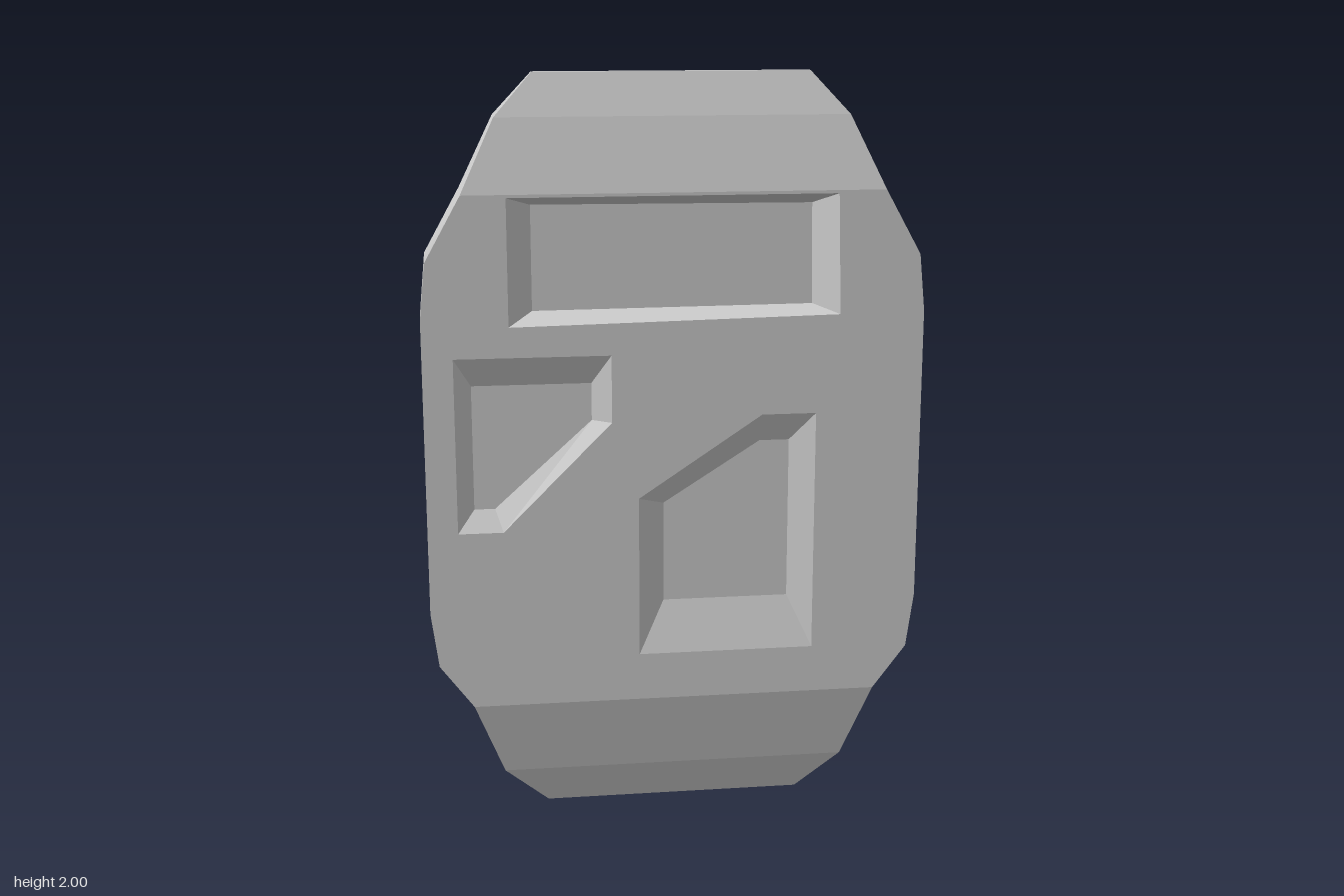
import * as THREE from 'three';

const grey = new THREE.MeshStandardMaterial({ color: 0xcccccc });
const faceted = new THREE.MeshStandardMaterial({ color: 0xcccccc, flatShading: true });
const FACE = 0.097; // half thickness of the slab

// Outline of the slab, bottom to top: height, half width, half depth
const profile = [
  [0, 0.35, 0.018], [0.11, 0.47, 0.055], [0.32, 0.55, FACE], [0.44, 0.64, FACE],
  [0.59, 0.66, FACE], [1.38, 0.66, FACE], [1.53, 0.645, FACE], [1.7, 0.55, FACE],
  [1.89, 0.46, 0.052], [2, 0.36, 0.012],
];

// Recesses: rim and floor corners run counter-clockwise seen from the front
const recesses = [
  {
    name: 'window', depth: 0.08,
    rim: [[-0.435, 1.36], [0.435, 1.375], [0.425, 1.692], [-0.435, 1.692]],
    floor: [[-0.37, 1.388], [0.375, 1.392], [0.37, 1.66], [-0.37, 1.665]],
  },
  {
    name: 'upperRecess', depth: 0.04,
    rim: [[-0.58, 0.81], [-0.46, 0.81], [-0.17, 1.1], [-0.17, 1.28], [-0.58, 1.28]],
    floor: [[-0.535, 0.865], [-0.48, 0.865], [-0.22, 1.1], [-0.22, 1.2], [-0.535, 1.2]],
  },
  {
    name: 'lowerRecess', depth: 0.04,
    rim: [[-0.1, 0.45], [0.375, 0.45], [0.375, 1.11], [0.23, 1.11], [-0.1, 0.89]],
    floor: [[-0.03, 0.59], [0.31, 0.59], [0.31, 1.03], [0.23, 1.03], [-0.03, 0.865]],
  },
];

const points = (list) => list.map(([x, y]) => new THREE.Vector2(x, y));

function mesh(name, geometry, material) {
  const m = new THREE.Mesh(geometry, material);
  m.name = name;
  return m;
}

// Faceted surface from a list of four-cornered faces
function quads(faces) {
  const pos = [];
  for (const [a, b, c, d] of faces) pos.push(...a, ...b, ...c, ...a, ...c, ...d);
  const g = new THREE.BufferGeometry();
  g.setAttribute('position', new THREE.Float32BufferAttribute(pos, 3));
  g.computeVertexNormals();
  return g;
}

function createRecess({ name, depth, rim, floor }) {
  const group = new THREE.Group();
  group.name = name;
  const walls = rim.map((p, i) => {
    const j = (i + 1) % rim.length;
    return [[...p, FACE], [...rim[j], FACE], [...floor[j], FACE - depth], [...floor[i], FACE - depth]];
  });
  const base = new THREE.ShapeGeometry(new THREE.Shape(points(floor)));
  base.translate(0, 0, FACE - depth);
  group.add(mesh(name + 'Walls', quads(walls), faceted), mesh(name + 'Floor', base, grey));
  return group;
}

// One face of the slab with one of its side edges
function createHalf(name) {
  const half = new THREE.Group();
  half.name = name;

  // Flat panel pierced by the recess rims
  const flat = profile.filter((p) => p[2] === FACE);
  const outline = [
    ...flat.map(([y, w]) => [w, y]),
    ...flat.slice().reverse().map(([y, w]) => [-w, y]),
  ];
  const shape = new THREE.Shape(points(outline));
  for (const r of recesses) shape.holes.push(new THREE.Path(points(r.rim).reverse()));
  const panel = new THREE.ShapeGeometry(shape);
  panel.translate(0, 0, FACE);
  half.add(mesh('facePanel', panel, grey));
  for (const r of recesses) half.add(createRecess(r));

  // Sloped ends, closed to the middle plane at the top and bottom
  const first = profile[0], last = profile[profile.length - 1];
  const rows = [[first[0], first[1], 0], ...profile, [last[0], last[1], 0]];
  const slopes = [];
  for (let i = 0; i < rows.length - 1; i++) {
    const [y0, w0, z0] = rows[i], [y1, w1, z1] = rows[i + 1];
    if (z0 === FACE && z1 === FACE) continue;
    slopes.push([[-w0, y0, z0], [w0, y0, z0], [w1, y1, z1], [-w1, y1, z1]]);
  }
  half.add(mesh('slopedEnds', quads(slopes), faceted));

  // Smooth side edge from front to back
  const pos = [], index = [];
  profile.forEach(([y, w, z], i) => {
    pos.push(w, y, z, w, y, -z);
    const a = i * 2;
    if (i < profile.length - 1) index.push(a, a + 1, a + 3, a, a + 3, a + 2);
  });
  const side = new THREE.BufferGeometry();
  side.setAttribute('position', new THREE.Float32BufferAttribute(pos, 3));
  side.setIndex(index);
  side.computeVertexNormals();
  half.add(mesh('sideEdge', side, grey));
  return half;
}

export function createModel() {
  const model = new THREE.Group();
  model.name = 'plaque';
  const front = createHalf('frontHalf');
  const back = createHalf('backHalf');
  back.rotation.y = Math.PI;
  model.add(front, back);
  return model;
}
